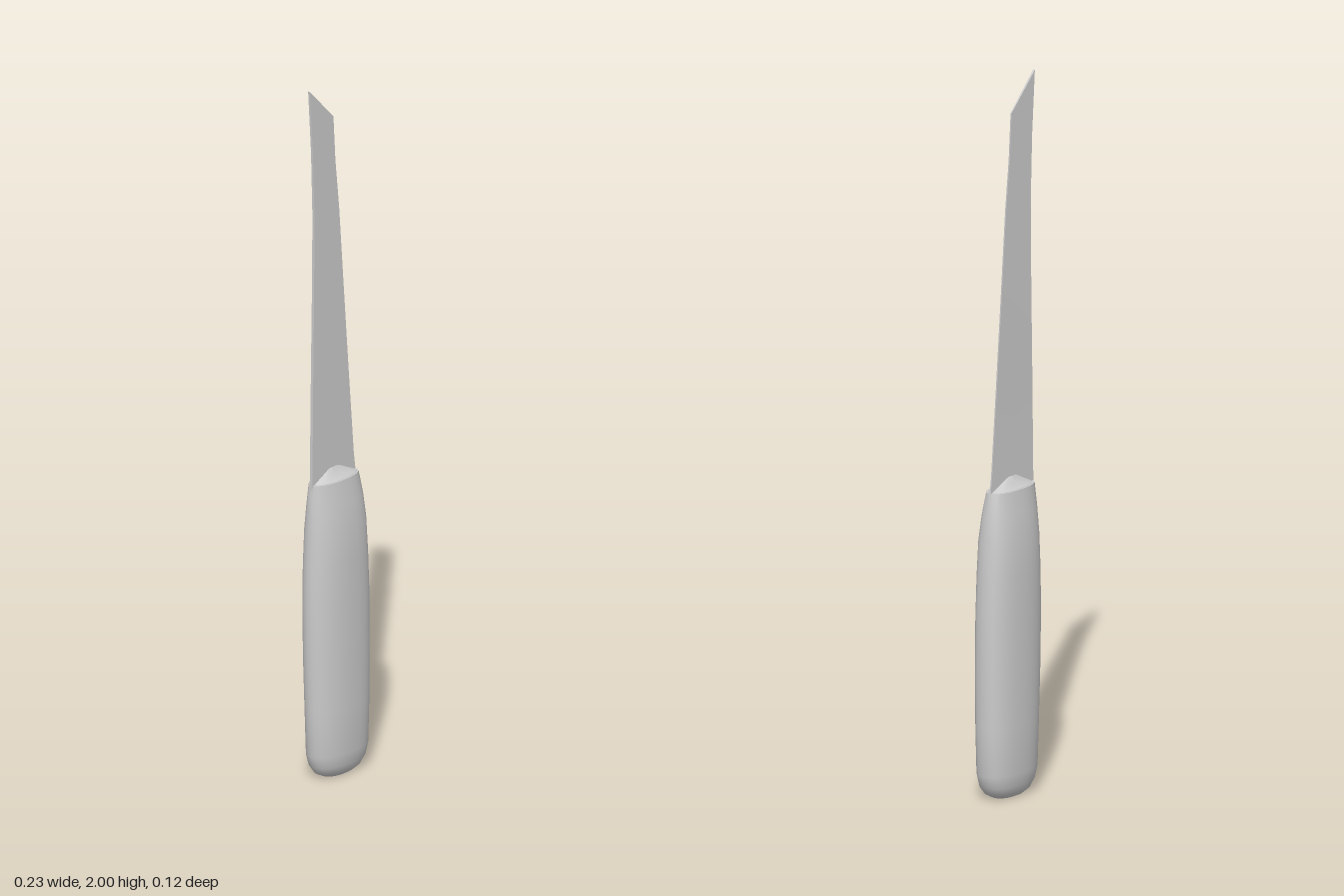
import * as THREE from 'three';
import { toCreasedNormals } from 'three/addons/utils/BufferGeometryUtils.js';

const SIDES = 28;

// Closed solid through equal-length rings of [x, y, z], listed bottom to top
function loft(rings, crease) {
  const n = rings[0].length, pos = [], idx = [];
  rings.forEach(r => r.forEach(p => pos.push(...p)));
  for (let j = 0; j < rings.length - 1; j++) {
    for (let i = 0; i < n; i++) {
      const a = j * n + i, b = j * n + (i + 1) % n;
      idx.push(a, a + n, b + n, a, b + n, b);
    }
  }
  const last = (rings.length - 1) * n;
  for (let i = 1; i < n - 1; i++) {
    idx.push(0, i, i + 1);
    idx.push(last, last + i + 1, last + i);
  }
  const g = new THREE.BufferGeometry();
  g.setAttribute('position', new THREE.Float32BufferAttribute(pos, 3));
  g.setIndex(idx);
  return toCreasedNormals(g, crease);
}

// Egg-like section: narrower toward -x, blunter toward +x
function section([y, x0, x1, hz]) {
  const cx = (x0 + x1) / 2, hx = (x1 - x0) / 2;
  return Array.from({ length: SIDES }, (_, i) => {
    const a = i / SIDES * Math.PI * 2, c = Math.cos(a), s = Math.sin(a);
    const k = c > 0 ? 0.8 : 0.95;
    return [cx + hx * Math.sign(c) * Math.abs(c) ** k, y, hz * Math.sign(s) * Math.abs(s) ** k];
  });
}

export function createModel() {
  const group = new THREE.Group();
  const add = (name, geometry) => {
    const mesh = new THREE.Mesh(geometry, new THREE.MeshStandardMaterial({ color: 0xcccccc }));
    mesh.name = name;
    group.add(mesh);
  };

  // Handle: rounded butt, swollen grip, tapered neck (y, left x, right x, half depth)
  add('handle', loft([
    [0, -0.05, 0.06, 0.03],
    [0.012, -0.073, 0.082, 0.042],
    [0.035, -0.09, 0.099, 0.051],
    [0.07, -0.1, 0.108, 0.056],
    [0.2, -0.105, 0.112, 0.058],
    [0.35, -0.111, 0.113, 0.059],
    [0.5, -0.114, 0.112, 0.059],
    [0.62, -0.112, 0.107, 0.058],
    [0.72, -0.107, 0.1, 0.056],
    [0.79, -0.103, 0.092, 0.047],
    [0.855, -0.097, 0.079, 0.037],
  ].map(section), 0.7));

  // Collar: low cap rising to a short ridge around the blade
  add('collar', loft([
    [0.85, -0.092, 0.074, 0.034],
    [0.856, -0.09, 0.072, 0.032],
    [0.87, -0.062, 0.042, 0.014],
    [0.886, -0.032, 0.008, 0.005],
  ].map(section), 0.5));

  // Blade: thin wedge, thick spine on -x, slanted tip (spine x, y, edge x, y)
  add('blade', loft([
    [-0.098, 0.84, 0.08, 0.84],
    [-0.097, 0.9, 0.072, 0.9],
    [-0.094, 1.15, 0.051, 1.15],
    [-0.09, 1.4, 0.031, 1.4],
    [-0.088, 1.63, 0.013, 1.63],
    [-0.094, 1.82, -0.002, 1.77],
    [-0.106, 2, -0.01, 1.9],
  ].map(([sx, sy, ex, ey], i) => {
    const t = 0.005 - i * 0.0003, e = 0.002;
    return [[ex, ey, -e], [ex, ey, e], [sx, sy, t], [sx, sy, -t]];
  }), 0.5));

  return group;
}
